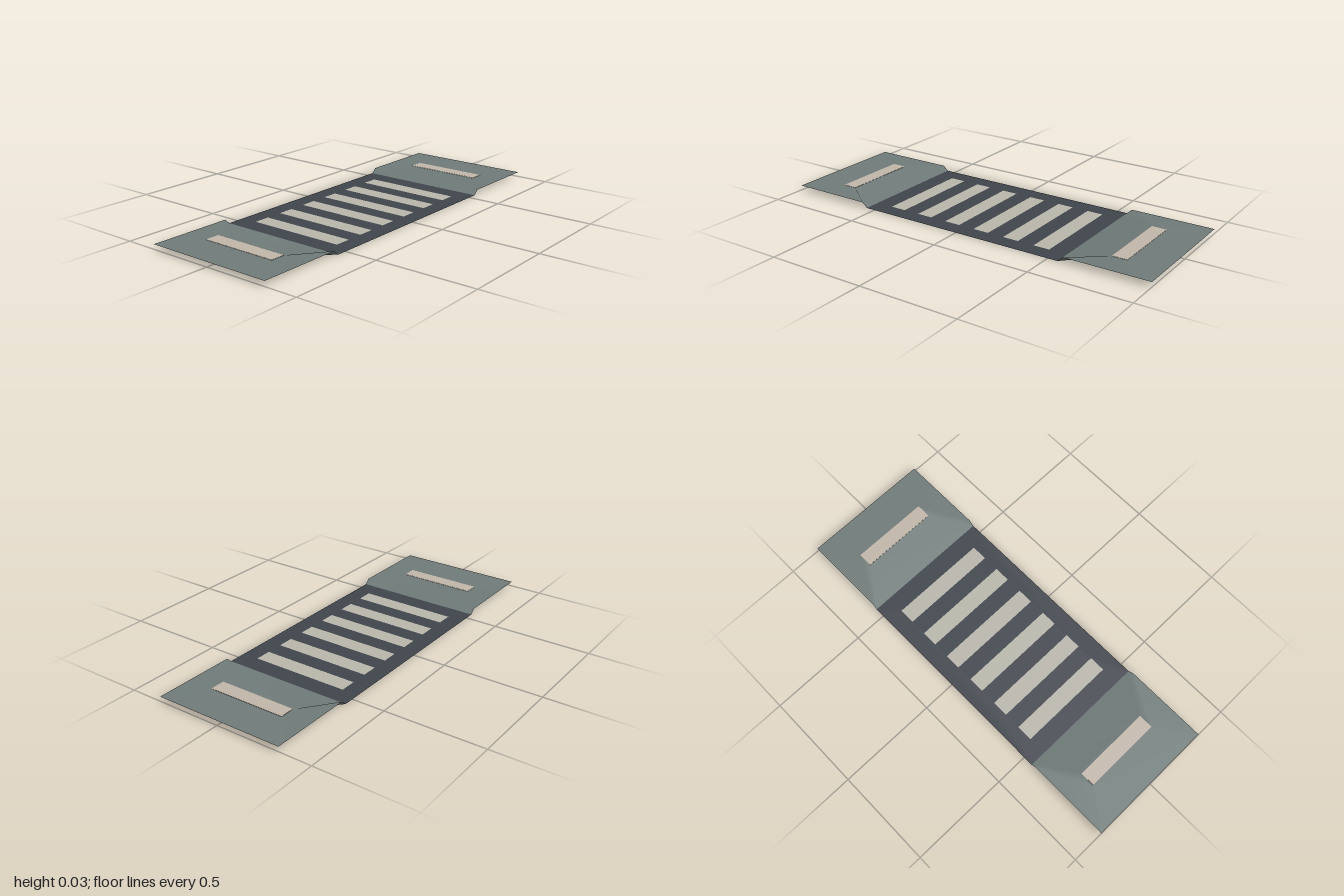
import * as THREE from 'three';

const HALF_W = 0.333, ROAD_Z = 0.55, CURB = 0.024;

const mat = (name, color) => {
  const m = new THREE.MeshStandardMaterial({ color, side: THREE.DoubleSide });
  m.name = name;
  return m;
};

const rectPoints = (w, h, y = 0) => [
  new THREE.Vector2(-w / 2, y - h / 2), new THREE.Vector2(w / 2, y - h / 2),
  new THREE.Vector2(w / 2, y + h / 2), new THREE.Vector2(-w / 2, y + h / 2),
];

// Sidewalk end: flat slab, centre ramp, two steep flares and an opening for the strip
function sidewalkGeometry() {
  const points = [
    [-HALF_W, 0, ROAD_Z], [HALF_W, 0, ROAD_Z],
    [-HALF_W, CURB, 0.575], [-0.2, CURB, 0.745], [0.2, CURB, 0.745], [HALF_W, CURB, 0.575],
    [-0.2, CURB, 0.82], [0.2, CURB, 0.82],
    [-HALF_W, CURB, 1], [HALF_W, CURB, 1],
  ];
  const geo = new THREE.BufferGeometry();
  geo.setAttribute('position', new THREE.Float32BufferAttribute(points.flat(), 3));
  geo.setIndex([
    0, 3, 4, 0, 4, 1,               // ramp
    0, 2, 3, 1, 4, 5,               // flares
    2, 8, 6, 2, 6, 3,               // slab, one side
    5, 7, 9, 5, 4, 7,               // slab, other side
    6, 8, 9, 6, 9, 7,               // slab, outer end
  ]);
  geo.computeVertexNormals();
  return geo;
}

export function createModel() {
  const root = new THREE.Group();
  root.name = 'crosswalk';
  const asphalt = mat('asphalt', 0x40454d);
  const concrete = mat('concrete', 0x6f7b79);
  const paint = mat('stripe paint', 0xb8b6ab);
  const tactile = mat('tactile paving', 0xc0b5a8);

  const add = (parent, name, geo, material, y = 0, z = 0) => {
    const mesh = new THREE.Mesh(geo, material);
    mesh.name = name;
    mesh.position.set(0, y, z);
    parent.add(mesh);
    return mesh;
  };

  // Road with openings, filled by the painted stripes
  const stripeZ = [];
  for (let i = 0; i < 6; i++) stripeZ.push((i - 2.5) / 6);
  const road = new THREE.Shape(rectPoints(HALF_W * 2, ROAD_Z * 2));
  stripeZ.forEach(z => road.holes.push(new THREE.Path(rectPoints(0.5, 0.082, -z))));
  add(root, 'road', new THREE.ShapeGeometry(road).rotateX(-Math.PI / 2), asphalt);

  const stripe = new THREE.PlaneGeometry(0.5, 0.082).rotateX(-Math.PI / 2);
  stripeZ.forEach((z, i) => add(root, `stripe${i + 1}`, stripe, paint, 0, z));

  // Matching sidewalk at each end
  const walk = sidewalkGeometry();
  const strip = new THREE.PlaneGeometry(0.4, 0.075).rotateX(-Math.PI / 2);
  ['front', 'back'].forEach((end, i) => {
    const g = new THREE.Group();
    g.name = `${end}Sidewalk`;
    add(g, `${end}SidewalkSlab`, walk, concrete);
    add(g, `${end}TactileStrip`, strip, tactile, CURB + 0.001, 0.7825);
    g.rotation.y = i * Math.PI;
    root.add(g);
  });
  return root;
}
